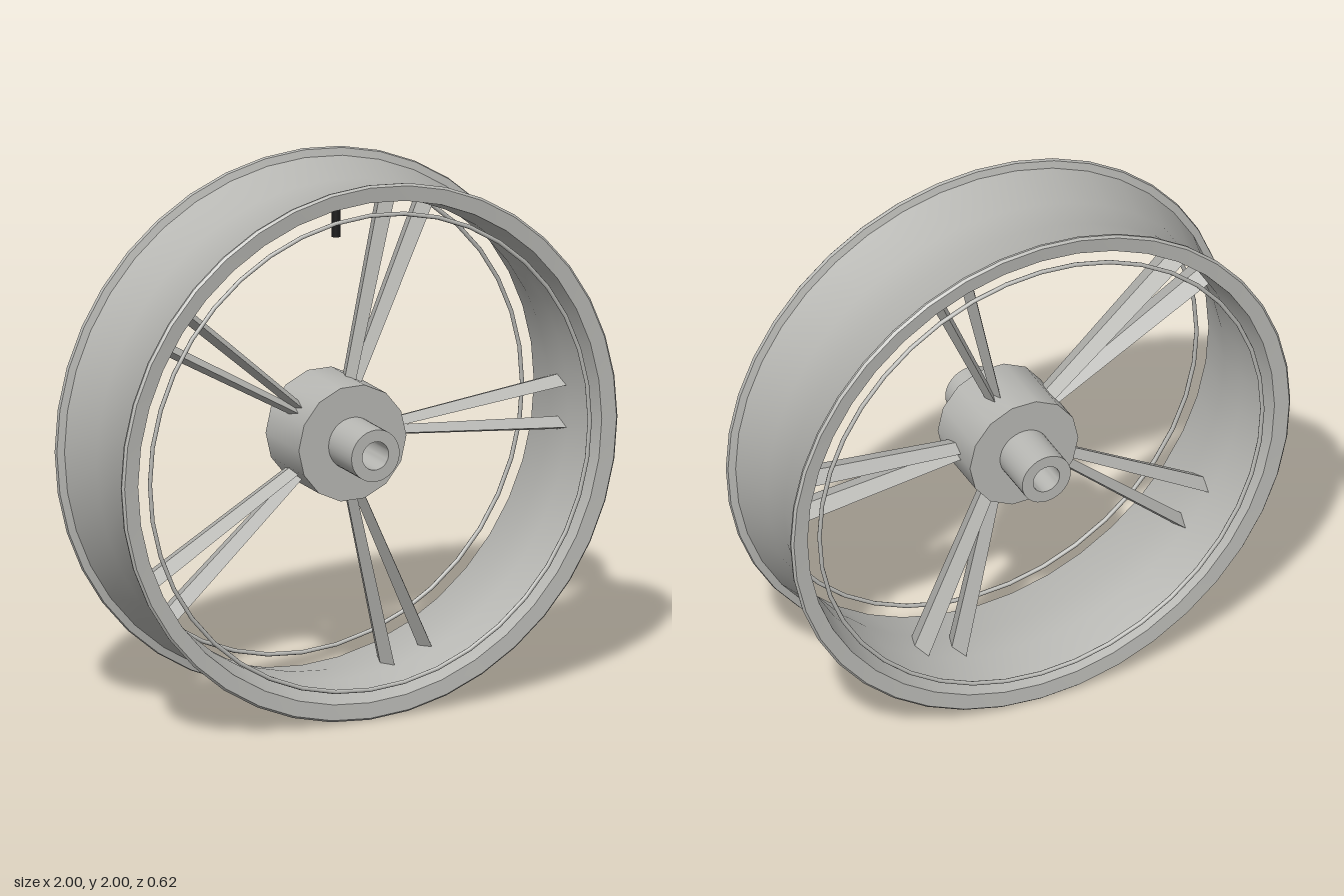
import * as THREE from 'three';
import { toCreasedNormals } from 'three/addons/utils/BufferGeometryUtils.js';

const silver = new THREE.MeshStandardMaterial({ color: 0xb8b8b4 });
silver.name = 'silver metal';
const black = new THREE.MeshStandardMaterial({ color: 0x1c1c1c });
black.name = 'black rubber';

// Closed profile of [radius, z] points turned around the z axis
function turned(name, profile, segments) {
  const points = [...profile, profile[0]].map(([r, z]) => new THREE.Vector2(r, z));
  const geometry = new THREE.LatheGeometry(points, segments, Math.PI / 2).rotateX(Math.PI / 2);
  const mesh = new THREE.Mesh(toCreasedNormals(geometry, 0.6), silver);
  mesh.name = name;
  return mesh;
}

const tube = (outer, inner, half) => [[outer, -half], [outer, half], [inner, half], [inner, -half]];

export function createModel() {
  const wheel = new THREE.Group();
  wheel.name = 'wheel';

  // Rim: waisted barrel with a lip on each side
  const outerHalf = [[0.93, 0.07], [0.97, 0.243], [0.997, 0.25], [1, 0.262], [0.992, 0.271], [0.935, 0.266]];
  const innerHalf = [[0.932, 0.25], [0.9, 0.07]];
  const mirrored = (half) => half.map(([r, z]) => [r, -z]).reverse();
  wheel.add(turned('rim', [...mirrored(outerHalf), ...outerHalf, ...innerHalf, ...mirrored(innerHalf)], 40));

  // Thin trim ring inside each lip
  for (const side of [1, -1]) {
    const ring = new THREE.Mesh(new THREE.TorusGeometry(0.887, 0.008, 8, 40), silver);
    ring.name = side > 0 ? 'frontTrimRing' : 'backTrimRing';
    ring.position.z = side * 0.265;
    wheel.add(ring);
  }

  // Hub drum and hollow axle
  wheel.add(turned('hub', tube(0.217, 0.07, 0.13), 14));
  wheel.add(turned('axle', tube(0.097, 0.053, 0.31), 32));

  // Five pairs of tapering diamond-section spokes
  const start = new THREE.Vector2(0.18, 0.009);
  const end = new THREE.Vector2(0.905, 0.08);
  const bladeGeometry = toCreasedNormals(
    new THREE.CylinderGeometry(1, 0.72, start.distanceTo(end), 4).scale(0.024, 1, 0.069), 0.2);
  const tilt = Math.atan2(end.y - start.y, end.x - start.x);
  for (let i = 0; i < 5; i++) {
    const pair = new THREE.Group();
    pair.name = 'spokePair' + (i + 1);
    pair.rotation.z = (i * Math.PI * 2) / 5;
    for (const side of [1, -1]) {
      const spoke = new THREE.Mesh(bladeGeometry, silver);
      spoke.name = 'spoke';
      spoke.position.set((start.x + end.x) / 2, (side * (start.y + end.y)) / 2, 0);
      spoke.rotation.z = side * tilt - Math.PI / 2;
      pair.add(spoke);
    }
    wheel.add(pair);
  }

  // Valve stem pointing inward from the top of the rim
  const valve = new THREE.Mesh(new THREE.CylinderGeometry(0.017, 0.017, 0.17, 12), black);
  valve.name = 'valveStem';
  valve.position.y = 0.825;
  wheel.add(valve);

  wheel.position.y = 1;
  const model = new THREE.Group();
  model.name = 'spokedWheel';
  model.add(wheel);
  return model;
}
